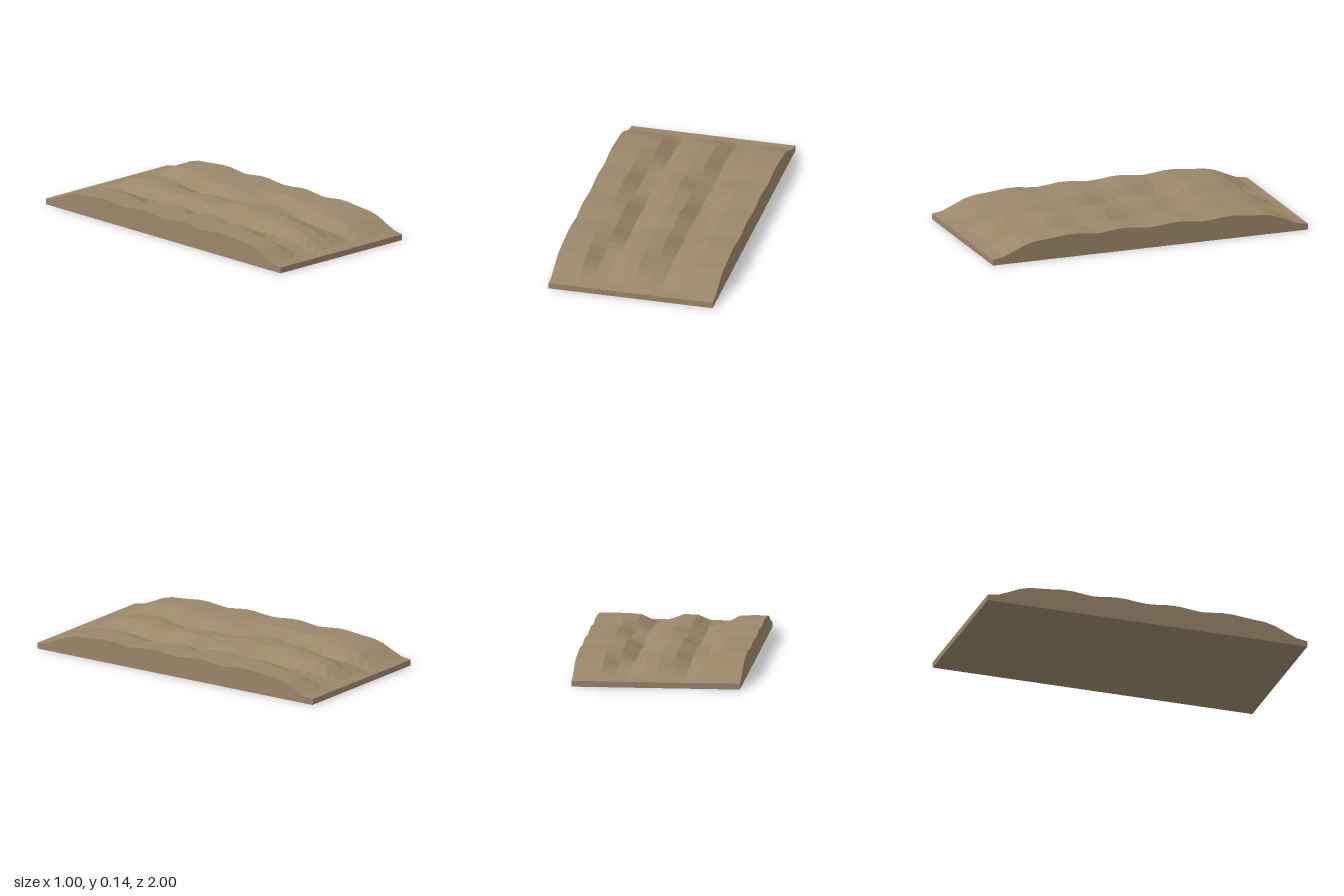
import * as THREE from 'three';

// Ridge height from the middle (z = 0) to either end (z = 1), in 15 steps
const RIDGE = [0.126, 0.13, 0.138, 0.139, 0.131, 0.124, 0.13, 0.138,
  0.138, 0.131, 0.125, 0.12, 0.103, 0.073, 0.045, 0.035];
const END_HEIGHT = 0.035;

// Two parallel wheel ruts that meander together along z
const RUTS = [-0.18, 0.175];
const RUT_DEPTH = 0.066, RUT_WIDTH = 0.05, MEANDER = 0.035;

function groundHeight(x, z) {
  const ridge = RIDGE[Math.round(Math.abs(z) * 15)];
  const fade = Math.min(1, (ridge - END_HEIGHT) / 0.085);
  const shift = MEANDER * Math.sin(2 * Math.PI * (z + 0.02));
  let cut = 0;
  for (const centre of RUTS) {
    const d = (x - centre - shift) / RUT_WIDTH;
    cut += RUT_DEPTH * Math.exp(-0.5 * d * d);
  }
  return ridge - cut * fade;
}

export function createModel() {
  const group = new THREE.Group();
  group.name = 'ruttedDirtTrack';

  const dirt = new THREE.MeshStandardMaterial({ color: 0x9b8769, flatShading: true });
  dirt.name = 'dirt';

  // Solid slab whose top grid is lifted to the ground height
  const slab = new THREE.BoxGeometry(1, 1, 2, 12, 1, 30);
  const pos = slab.attributes.position;
  for (let i = 0; i < pos.count; i++) {
    const top = pos.getY(i) > 0;
    pos.setY(i, top ? groundHeight(pos.getX(i), pos.getZ(i)) : 0);
  }
  slab.computeVertexNormals();

  const track = new THREE.Mesh(slab, dirt);
  track.name = 'dirtTrack';
  group.add(track);
  return group;
}
